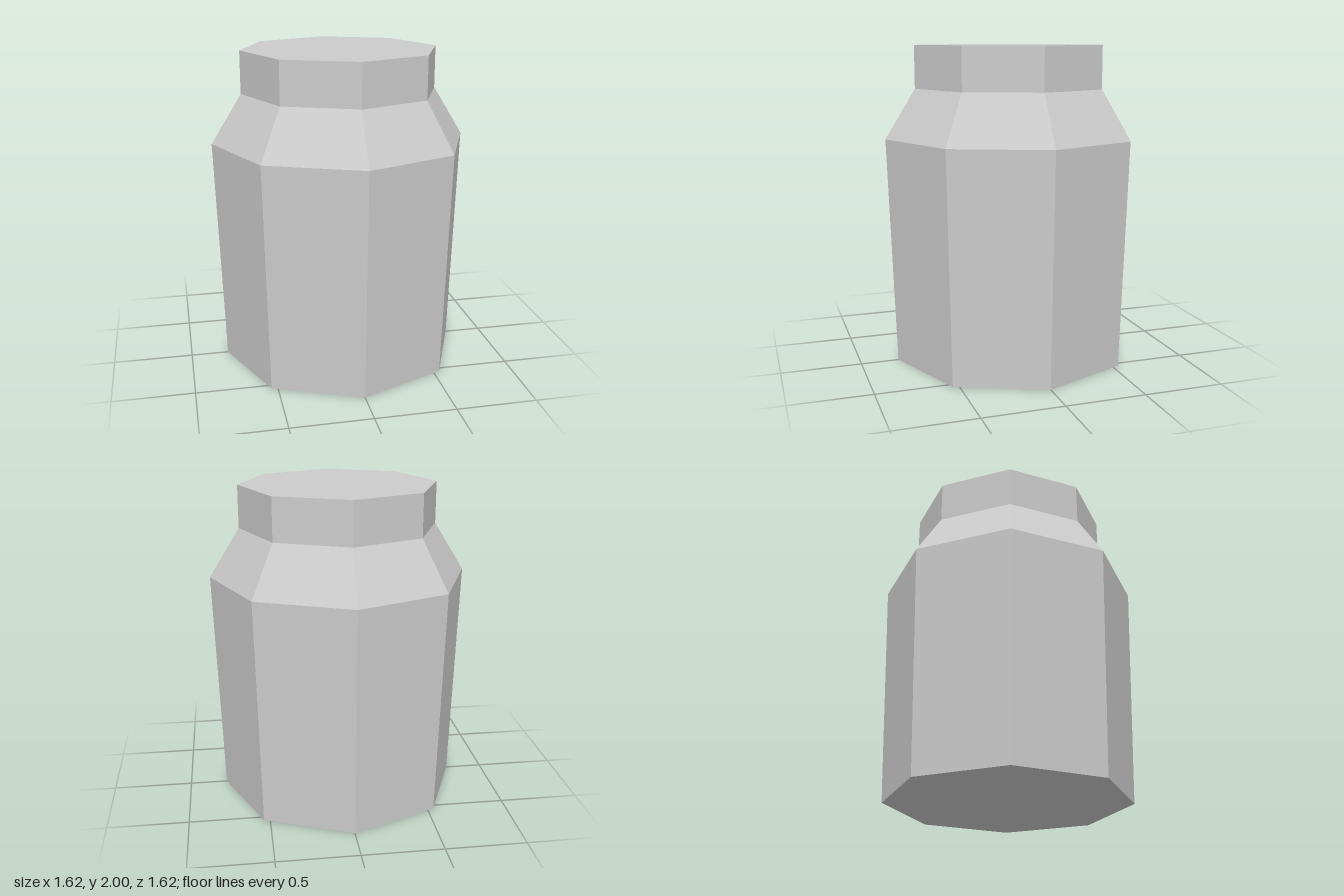
import * as THREE from 'three';

const SIDES = 8;

export function createModel() {
  const jar = new THREE.Group();
  jar.name = 'jar';
  const grey = new THREE.MeshStandardMaterial({ color: 0xcccccc, flatShading: true });
  grey.name = 'light grey';

  const add = (name, geometry, y) => {
    const mesh = new THREE.Mesh(geometry, grey);
    mesh.name = name;
    mesh.position.y = y;
    jar.add(mesh);
  };

  // Open octagonal rings stacked bottom to top: name, lower radius, upper radius, lower y, upper y
  const rings = [
    ['body', 0.762, 0.808, 0, 1.43],
    ['shoulder', 0.808, 0.618, 1.43, 1.735],
    ['neck', 0.618, 0.618, 1.735, 2],
  ];
  for (const [name, r0, r1, y0, y1] of rings) {
    add(name, new THREE.CylinderGeometry(r1, r0, y1 - y0, SIDES, 1, true), (y0 + y1) / 2);
  }

  // Flat octagonal ends
  add('base', new THREE.CircleGeometry(0.762, SIDES).rotateX(Math.PI / 2), 0);
  add('lid', new THREE.CircleGeometry(0.618, SIDES).rotateX(-Math.PI / 2), 2);

  return jar;
}
